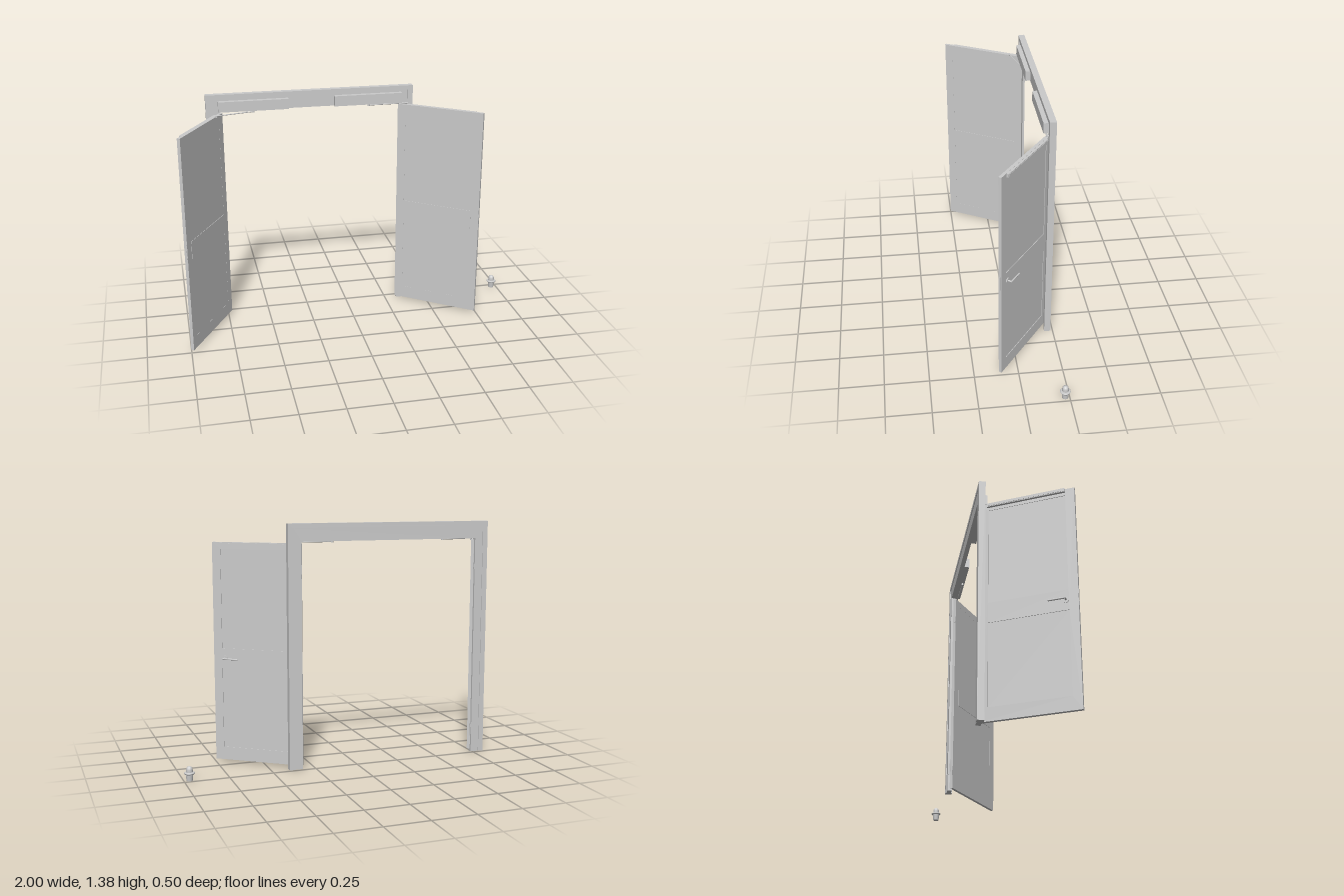
import * as THREE from 'three';

const grey = new THREE.MeshStandardMaterial({ color: 0xcccccc });
const CX = -0.21;          // middle of the doorway
const HALF = 0.532;        // half the clear opening
const W = 0.53, T = 0.018; // leaf width and thickness
const Y0 = 0.015, Y1 = 1.275;

function add(parent, name, geometry, x = 0, y = 0, z = 0) {
  const mesh = new THREE.Mesh(geometry, grey);
  mesh.name = name;
  mesh.position.set(x, y, z);
  parent.add(mesh);
  return mesh;
}

// Box given by its extents
function box(parent, name, x0, x1, y0, y1, z0, z1) {
  return add(parent, name, new THREE.BoxGeometry(Math.abs(x1 - x0), y1 - y0, z1 - z0),
    (x0 + x1) / 2, (y0 + y1) / 2, (z0 + z1) / 2);
}

// Straight rod between two points
function rod(parent, name, a, b, radius, sides = 8) {
  const d = b.clone().sub(a);
  const mesh = add(parent, name, new THREE.CylinderGeometry(radius, radius, d.length(), sides));
  mesh.position.copy(a).add(b).multiplyScalar(0.5);
  mesh.quaternion.setFromUnitVectors(new THREE.Vector3(0, 1, 0), d.normalize());
  return mesh;
}

// Three-sided surround, open at the floor
function surround(parent, name, outer, top, inner, bottom, z0, z1) {
  const s = new THREE.Shape([
    [-outer, 0], [-inner, 0], [-inner, bottom], [inner, bottom],
    [inner, 0], [outer, 0], [outer, top], [-outer, top],
  ].map(p => new THREE.Vector2(...p)));
  add(parent, name, new THREE.ExtrudeGeometry(s, { depth: z1 - z0, bevelEnabled: false }), CX, 0, z0);
}

function rectPath(x0, x1, y0, y1) {
  return new THREE.Path([[x0, y0], [x0, y1], [x1, y1], [x1, y0]].map(p => new THREE.Vector2(...p)));
}

// One leaf hinged at its origin; s = 1 reaches +x when shut, s = -1 reaches -x
function leaf(name, s, degrees) {
  const door = new THREE.Group();
  door.name = name;
  const side = 0.05, panels = [[0.09, 0.555], [0.67, 1.235]];

  // Stiles and rails with two panel openings
  const outline = new THREE.Shape([[0, Y0], [W, Y0], [W, Y1], [0, Y1]].map(p => new THREE.Vector2(...p)));
  for (const [a, b] of panels) outline.holes.push(rectPath(side, W - side, a, b));
  add(door, 'stilesAndRails', new THREE.ExtrudeGeometry(outline, { depth: T, bevelEnabled: false }),
    s > 0 ? 0 : -W, 0, -T);
  for (const [a, b] of panels) box(door, 'panel', s * side, s * (W - side), a, b, -T + 0.0005, -0.003);
  box(door, 'middleRail', s * side, s * (W - side), 0.555, 0.67, -T - 0.002, -T);

  // Slide track of the closer
  box(door, 'closerTrack', s * 0.045, s * 0.48, 1.253, 1.274, 0, 0.013);
  box(door, 'trackCover', s * 0.055, s * 0.47, 1.257, 1.27, 0.013, 0.015);

  // Lever handle
  const hx = s * 0.465, hy = 0.612;
  add(door, 'handleRose', new THREE.CylinderGeometry(0.016, 0.016, 0.005, 24).rotateX(Math.PI / 2), hx, hy, 0.0025);
  rod(door, 'handleNeck', new THREE.Vector3(hx, hy, 0), new THREE.Vector3(hx, hy, 0.026), 0.005, 16);
  const grip = add(door, 'handleLever', new THREE.CapsuleGeometry(0.0045, 0.085, 4, 12), hx - s * 0.042, hy, 0.024);
  grip.rotation.z = Math.PI / 2;
  box(door, 'latchPlate', s * W, s * (W + 0.001), 0.55, 0.67, -T + 0.004, -0.004);

  // Hinges
  for (const y of [0.14, 1.15]) {
    add(door, 'hingeKnuckle', new THREE.CylinderGeometry(0.005, 0.005, 0.09, 12), 0, y, 0.002);
    box(door, 'hingePlate', -s * 0.0015, 0, y - 0.045, y + 0.045, -T + 0.002, 0);
  }

  door.position.set(CX - s * HALF, 0, -0.22);
  door.rotation.y = -s * THREE.MathUtils.degToRad(degrees);
  return door;
}

// Closer housing on the header and its arm to the leaf
function closer(parent, s, end) {
  box(parent, 'closerHousing', CX - s * 0.54, CX - s * 0.135, 1.287, 1.347, -0.212, -0.178);
  const pivot = new THREE.Vector3(CX - s * 0.34, 1.281, -0.19);
  add(parent, 'closerSpindle', new THREE.CylinderGeometry(0.007, 0.007, 0.014, 16), pivot.x, 1.283, pivot.z);
  const arm = rod(parent, 'closerArm', pivot, end, 0.0035);
  add(parent, 'armSlider', new THREE.CylinderGeometry(0.005, 0.005, 0.012, 12), end.x, 1.276, end.z);
  return arm;
}

export function createModel() {
  const model = new THREE.Group();
  model.name = 'doubleDoor';

  // Frame: proud outer casing around a slightly recessed lining
  surround(model, 'outerCasing', 0.61, 1.385, 0.58, 1.36, -0.237, -0.2);
  surround(model, 'innerLining', 0.58, 1.36, HALF, 1.285, -0.233, -0.207);

  // Hinge plates on the jambs
  for (const s of [-1, 1]) for (const y of [0.14, 1.15])
    box(model, 'jambHingePlate', CX + s * HALF, CX + s * (HALF - 0.0015), y - 0.045, y + 0.045, -0.23, -0.21);

  // Leaves
  model.add(leaf('rightDoor', 1, 119.4), leaf('leftDoor', -1, 143.3));

  // Closers
  closer(model, 1, new THREE.Vector3(-0.765, 1.281, -0.135));
  closer(model, -1, new THREE.Vector3(0.37, 1.281, -0.195));

  // Floor door stop with a rounded buffer
  const stop = new THREE.Group();
  stop.name = 'doorStop';
  stop.position.set(0.968, 0, -0.225);
  const lathe = (name, pts) => add(stop, name,
    new THREE.LatheGeometry(pts.map(p => new THREE.Vector2(...p)), 24));
  lathe('stopBody', [[0, 0], [0.017, 0], [0.017, 0], [0.021, 0.04]]);
  lathe('stopCollar', [[0, 0.037], [0.026, 0.037], [0.029, 0.041], [0.029, 0.044], [0.025, 0.048], [0, 0.048]]);
  lathe('stopBuffer', [[0.018, 0.046], [0.018, 0.062], [0.0165, 0.07], [0.012, 0.077], [0.006, 0.08], [0, 0.081]]);
  model.add(stop);

  return model;
}
